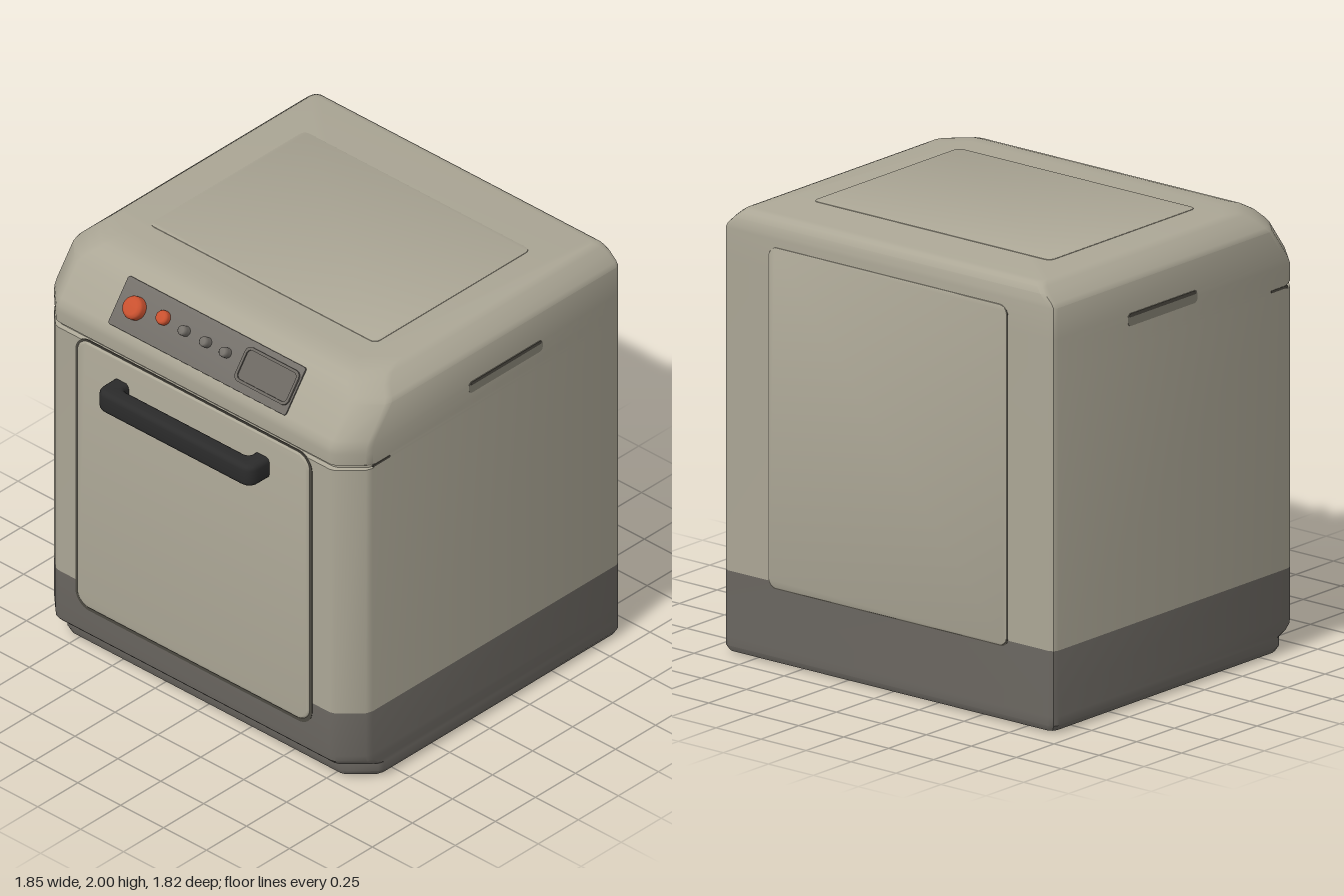
import * as THREE from 'three';
import { toCreasedNormals } from 'three/addons/utils/BufferGeometryUtils.js';

const mat = (name, color) => {
  const m = new THREE.MeshStandardMaterial({ color });
  m.name = name;
  return m;
};

// Horizontal section: chamfered front corners, small rounded back corners
function section([y, hw, zf, zb]) {
  const half = [
    [hw - 0.13, zf], [hw - 0.105, zf - 0.008], [hw - 0.01, zf - 0.1], [hw, zf - 0.13],
    [hw, zb + 0.03], [hw - 0.009, zb + 0.009], [hw - 0.03, zb],
  ];
  const other = half.map(([x, z]) => [-x, z]).reverse();
  return [...half, ...other].map(([x, z]) => [x, y, z]);
}

// Closed shell lofted through a stack of sections
function loft(rings) {
  const s = rings.map(section), n = s[0].length, pos = s.flat(2), idx = [];
  const top = (s.length - 1) * n;
  for (let j = 0; j < s.length - 1; j++) {
    for (let i = 0; i < n; i++) {
      const a = j * n + i, b = j * n + (i + 1) % n;
      idx.push(a, b, b + n, a, b + n, a + n);
    }
  }
  for (let i = 1; i < n - 1; i++) idx.push(0, i + 1, i, top, top + i, top + i + 1);
  const g = new THREE.BufferGeometry();
  g.setAttribute('position', new THREE.Float32BufferAttribute(pos, 3));
  g.setIndex(idx);
  return toCreasedNormals(g, 0.6);
}

function roundedRect(x0, y0, x1, y1, r) {
  const s = new THREE.Shape();
  s.moveTo(x0 + r, y0);
  s.lineTo(x1 - r, y0);
  s.absarc(x1 - r, y0 + r, r, -Math.PI / 2, 0);
  s.lineTo(x1, y1 - r);
  s.absarc(x1 - r, y1 - r, r, 0, Math.PI / 2);
  s.lineTo(x0 + r, y1);
  s.absarc(x0 + r, y1 - r, r, Math.PI / 2, Math.PI);
  s.lineTo(x0, y0 + r);
  s.absarc(x0 + r, y0 + r, r, Math.PI, Math.PI * 1.5);
  return s;
}

// Extrusion of total thickness d, starting at z = 0, with edges rounded by b
function slab(shape, d, b = 0) {
  const g = new THREE.ExtrudeGeometry(shape, {
    depth: d - 2 * b, bevelEnabled: b > 0, bevelThickness: b, bevelSize: b,
    bevelOffset: -b, bevelSegments: 4, curveSegments: 8,
  });
  g.translate(0, 0, b);
  return toCreasedNormals(g, 0.6);
}

export function createModel() {
  const root = new THREE.Group();
  const cream = mat('warm grey casing', 0xaca796);
  const grey = mat('dark grey base', 0x6b6761);
  const panelGrey = mat('control panel grey', 0x736f69);
  const black = mat('handle black', 0x2b2b2b);
  const red = mat('orange red', 0xc9512f);
  const seam = mat('seam shadow', 0x4d4a42);
  const recess = mat('grip recess', 0x858173);

  const add = (parent, name, geometry, material, x = 0, y = 0, z = 0) => {
    const m = new THREE.Mesh(geometry, material);
    m.name = name;
    m.position.set(x, y, z);
    parent.add(m);
    return m;
  };

  // Base with a toe step at the front
  add(root, 'base', loft([
    [0, 0.88, 0.67, -0.87], [0.01, 0.905, 0.692, -0.895], [0.035, 0.92, 0.7, -0.905],
    [0.075, 0.92, 0.7, -0.905], [0.095, 0.92, 0.745, -0.905], [0.12, 0.92, 0.77, -0.905],
    [0.15, 0.92, 0.775, -0.905], [0.37, 0.92, 0.775, -0.905],
  ]), grey);

  // Casing with a front groove and a sloping hood
  add(root, 'casing', loft([
    [0.37, 0.92, 0.775, -0.905], [1.62, 0.92, 0.775, -0.905], [1.626, 0.92, 0.755, -0.905],
    [1.636, 0.92, 0.755, -0.905], [1.645, 0.92, 0.772, -0.905], [1.7, 0.92, 0.775, -0.905],
    [1.73, 0.92, 0.772, -0.905], [1.76, 0.92, 0.758, -0.905], [1.9, 0.92, 0.655, -0.905],
    [1.92, 0.908, 0.64, -0.905], [1.955, 0.872, 0.612, -0.903], [1.98, 0.845, 0.57, -0.89],
    [1.992, 0.83, 0.53, -0.875], [1.997, 0.815, 0.46, -0.85],
  ]), cream);

  // Faintly raised lid panel
  const lid = add(root, 'lidPanel', slab(roundedRect(-0.66, -0.35, 0.66, 0.62, 0.03), 0.006, 0.002), cream, 0, 1.994, 0);
  lid.rotation.x = -Math.PI / 2;

  // Front door and the gap around it
  add(root, 'doorSeam', slab(roundedRect(-0.69, 0.245, 0.69, 1.635, 0.08), 0.006), seam, 0, 0, 0.771);
  add(root, 'door', slab(roundedRect(-0.677, 0.262, 0.677, 1.628, 0.07), 0.04, 0.012), cream, 0, 0, 0.746);

  // Rear panel and the gap around it
  const rear = new THREE.Group();
  rear.name = 'rearPanel';
  rear.rotation.y = Math.PI;
  rear.position.z = -0.9;
  add(rear, 'rearSeam', slab(roundedRect(-0.665, 0.34, 0.665, 1.86, 0.04), 0.0065), seam);
  add(rear, 'rearPlate', slab(roundedRect(-0.66, 0.345, 0.66, 1.865, 0.04), 0.01, 0.003), cream);
  root.add(rear);

  // Door handle: a U-shaped bar with rounded edges
  const u = new THREE.Shape();
  u.moveTo(-0.455, 0.77);
  u.lineTo(-0.455, 0.85);
  u.quadraticCurveTo(-0.455, 0.908, -0.395, 0.908);
  u.lineTo(0.39, 0.908);
  u.quadraticCurveTo(0.45, 0.908, 0.45, 0.85);
  u.lineTo(0.45, 0.77);
  u.lineTo(0.365, 0.77);
  u.lineTo(0.365, 0.8);
  u.quadraticCurveTo(0.365, 0.825, 0.335, 0.825);
  u.lineTo(-0.34, 0.825);
  u.quadraticCurveTo(-0.37, 0.825, -0.37, 0.8);
  u.lineTo(-0.37, 0.77);
  const handle = add(root, 'doorHandle', slab(u, 0.106, 0.024), black, 0, 1.524, 0);
  handle.rotation.x = Math.PI / 2;

  // Side slits under the hood and carrying grips
  for (const side of [1, -1]) {
    const g = new THREE.Group();
    g.name = side > 0 ? 'leftSideDetails' : 'rightSideDetails';
    g.rotation.y = side * Math.PI / 2;
    g.position.x = side * 0.917;
    const grip = (z0, z1) => (side > 0 ? [-z1, -z0] : [z0, z1]);
    const [a, b] = grip(-0.415, 0.045);
    add(g, 'gripRecess', slab(roundedRect(a, 1.705, b, 1.762, 0.02), 0.005), recess);
    add(g, 'gripShadow', slab(roundedRect(a + 0.008, 1.745, b - 0.008, 1.761, 0.007), 0.007), seam);
    const [c, d] = grip(0.535, 0.645);
    add(g, 'hoodSlit', slab(roundedRect(c, 1.625, d, 1.636, 0.004), 0.005), seam);
    root.add(g);
  }

  // Control panel lying on the hood slope
  const panel = new THREE.Group();
  panel.name = 'controlPanel';
  panel.position.set(0, 1.85, 0.692);
  panel.rotation.x = -0.635;
  root.add(panel);
  add(panel, 'panelPlate', slab(roundedRect(-0.515, -0.112, 0.52, 0.112, 0.012), 0.013, 0.003), panelGrey, 0, 0, -0.005);
  const frame = roundedRect(0.2, -0.075, 0.512, 0.085, 0.03);
  frame.holes.push(roundedRect(0.213, -0.062, 0.499, 0.072, 0.022));
  add(panel, 'displayFrame', slab(frame, 0.012), grey, 0, 0, 0.005);
  add(panel, 'displayScreen', slab(roundedRect(0.21, -0.065, 0.502, 0.075, 0.022), 0.003), grey, 0, 0, 0.007);

  // Knobs and buttons with rounded caps
  const knob = (name, x, y, r, h, material) => {
    const profile = [[r, 0], [r, h * 0.6], [r * 0.9, h * 0.85], [r * 0.65, h], [0, h]];
    const g = new THREE.LatheGeometry(profile.map(p => new THREE.Vector2(...p)), 20);
    g.rotateX(Math.PI / 2);
    add(panel, name, g, material, x, y, 0.004);
  };
  knob('mainKnob', -0.408, 0.0, 0.052, 0.05, red);
  knob('smallKnob', -0.255, 0.02, 0.032, 0.035, red);
  [-0.125, 0, 0.115].forEach((x, i) => knob('button' + (i + 1), x, 0.012, 0.023, 0.045, panelGrey));

  return root;
}
